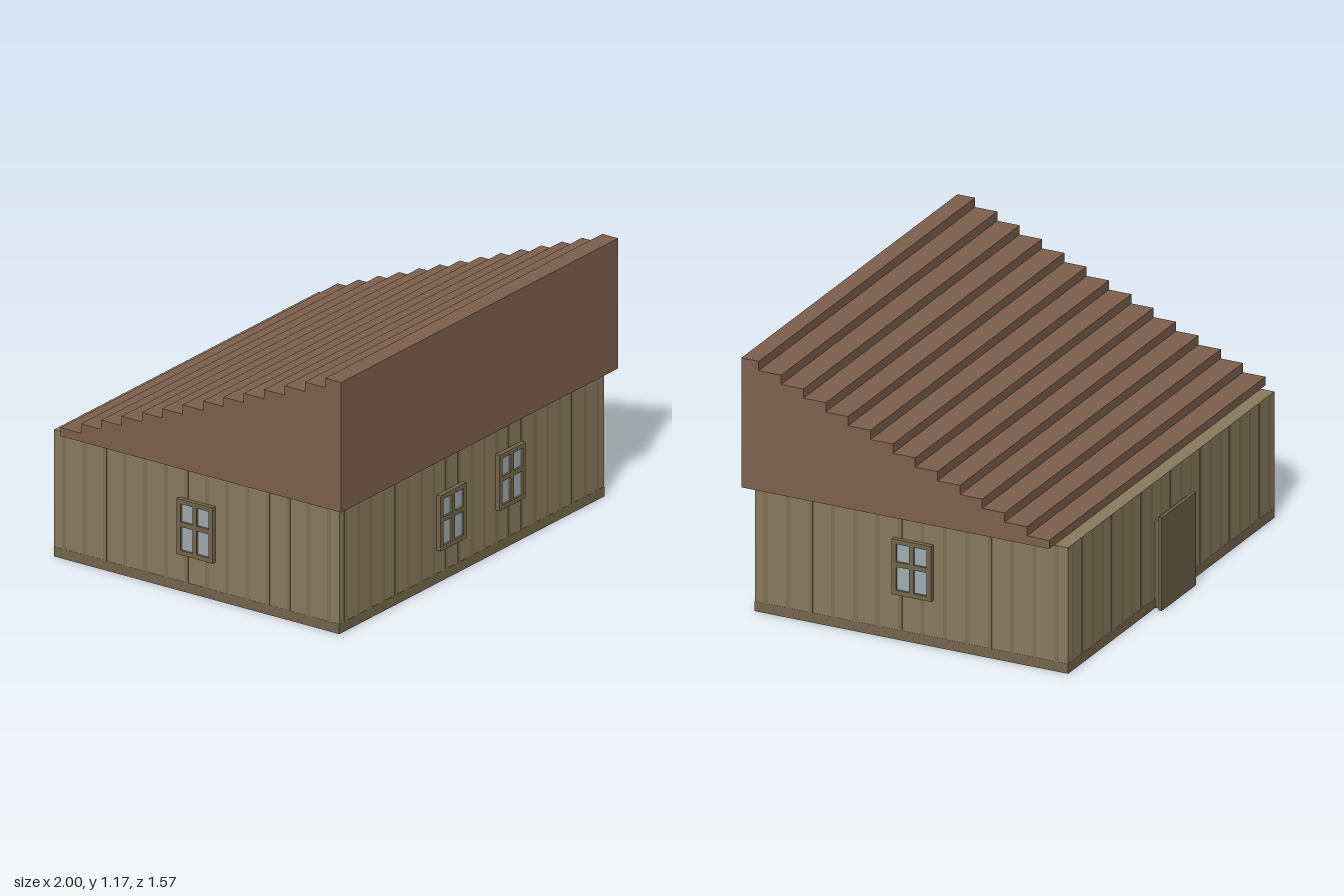
import * as THREE from 'three';

const mat = (color) => new THREE.MeshStandardMaterial({ color });
const WALL = mat(0x8a7b5e), GROOVE = mat(0x7c7155), TRIM = mat(0x74664d);
const ROOF = mat(0x7e604d), GLASS = mat(0x9fabb1), DOOR = mat(0x6f6049);

// Wall extents
const X0 = -0.957, X1 = 0.953, Z = 0.745, EAVE = 0.578;
const CX = (X0 + X1) / 2, W = X1 - X0;

function box(name, material, w, h, d, x, y, z) {
  const m = new THREE.Mesh(new THREE.BoxGeometry(w, h, d), material);
  m.name = name;
  m.position.set(x, y, z);
  return m;
}

function rect(Type, x, y, w, h) {
  return new Type([[x, y], [x + w, y], [x + w, y + h], [x, y + h]].map((p) => new THREE.Vector2(...p)));
}

// Four-pane window, bottom centre at the origin, facing +z
function makeWindow(name) {
  const w = 0.188, h = 0.254, g = new THREE.Group();
  g.name = name;
  const shape = rect(THREE.Shape, -w / 2, 0, w, h);
  for (const x of [-0.073, 0.011]) {
    shape.holes.push(rect(THREE.Path, x, 0.021, 0.062, 0.108), rect(THREE.Path, x, 0.151, 0.062, 0.082));
  }
  const frame = new THREE.Mesh(new THREE.ExtrudeGeometry(shape, { depth: 0.022, bevelEnabled: false }), TRIM);
  frame.name = 'windowFrame';
  g.add(frame, box('windowGlass', GLASS, w - 0.03, h - 0.03, 0.012, 0, h / 2, 0.006));
  return g;
}

// Board joints and a skirting band along a wall of given length, facing +z
function makeCladding(length, count) {
  const g = new THREE.Group();
  g.name = 'wallCladding';
  const pitch = length / count;
  for (let i = 0; i < count; i++) {
    const x = -length / 2 + (i + 0.5) * pitch;
    g.add(box('boardJoint', GROOVE, 0.02, EAVE - 0.045, 0.002, x, (EAVE + 0.045) / 2, 0));
  }
  g.add(box('skirting', TRIM, length, 0.045, 0.002, 0, 0.0225, 0));
  return g;
}

// Solid shed roof with a stepped slope, its profile extruded along x
function makeRoof() {
  const steps = 14, run = 0.1063, rise = 0.0427, top = 1.172, front = 0.785;
  const s = new THREE.Shape();
  s.moveTo(-front, EAVE);
  for (let i = 0; i < steps; i++) {
    const y = top - i * rise;
    s.lineTo(i === 0 ? -front : -0.702 + (i - 1) * run, y);
    s.lineTo(-0.702 + i * run, y);
  }
  s.lineTo(-0.702 + (steps - 1) * run, EAVE);
  s.closePath();
  const geo = new THREE.ExtrudeGeometry(s, { depth: 2, bevelEnabled: false });
  geo.translate(0, 0, -1).rotateY(Math.PI / 2); // profile -x becomes +z
  const m = new THREE.Mesh(geo, ROOF);
  m.name = 'steppedRoof';
  return m;
}

export function createModel() {
  const house = new THREE.Group();
  house.name = 'house';
  house.add(box('walls', WALL, W, EAVE, 2 * Z, CX, EAVE / 2, 0), makeRoof());

  // Cladding on all four walls
  const sides = [
    [W, 21, CX, Z, 0], [W, 21, CX, -Z, Math.PI],
    [2 * Z, 14, X1, 0, Math.PI / 2], [2 * Z, 14, X0, 0, -Math.PI / 2],
  ];
  for (const [length, count, x, z, turn] of sides) {
    const c = makeCladding(length, count);
    c.position.set(x, 0, z);
    c.rotation.y = turn;
    house.add(c);
  }

  // Windows: two on the front, one on each end
  const windows = [
    ['frontWindowA', -0.163, 0.151, Z, 0], ['frontWindowB', 0.263, 0.195, Z, 0],
    ['leftWindow', X1, 0.214, -0.011, Math.PI / 2], ['rightWindow', X0, 0.174, 0.005, -Math.PI / 2],
  ];
  for (const [name, x, y, z, turn] of windows) {
    const w = makeWindow(name);
    w.position.set(x, y, z);
    w.rotation.y = turn;
    house.add(w);
  }

  // Back door: casing with a slightly larger panel over it
  house.add(
    box('doorCasing', TRIM, 0.28, 0.405, 0.025, 0.008, 0.2025, -Z - 0.0125),
    box('doorPanel', DOOR, 0.316, 0.427, 0.016, 0.008, 0.2135, -Z - 0.033),
  );
  return house;
}
